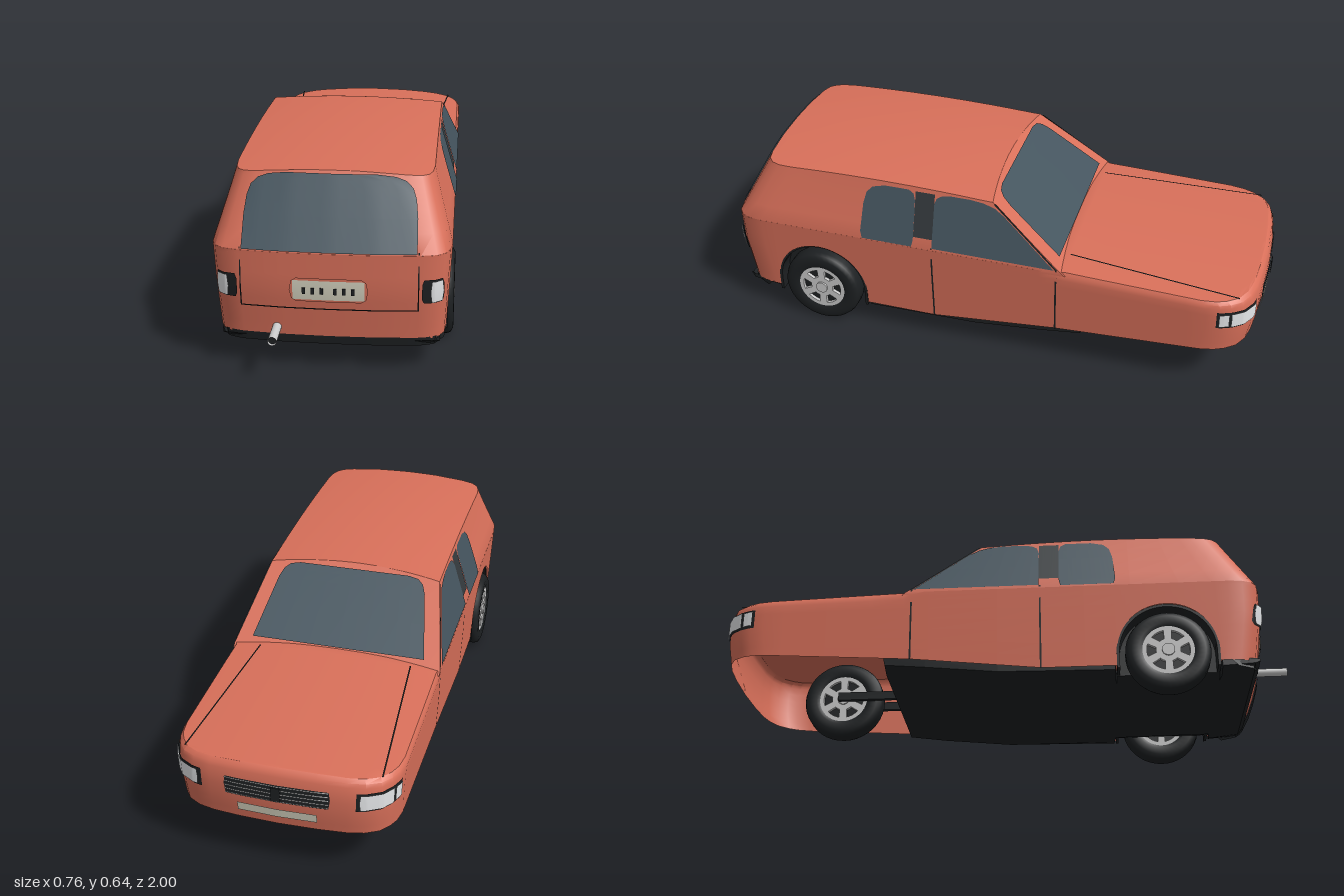
import * as THREE from 'three';
import { toCreasedNormals } from 'three/addons/utils/BufferGeometryUtils.js';

const mat = (color) => new THREE.MeshStandardMaterial({ color, side: THREE.DoubleSide });
const PAINT = mat(0xd9705a), GLASS = mat(0x45555f), DARK = mat(0x1d2022), PILLAR = mat(0x33393c),
  GREY = mat(0xcccccc), LAMP = mat(0xe6e8ea), PLATE = mat(0xd6d3c0);

const lerp = THREE.MathUtils.lerp;
// piecewise linear lookup in [[x, value], ...]
function lin(table, x) {
  for (let i = 1; i < table.length; i++) {
    const [a, va] = table[i - 1], [b, vb] = table[i];
    if (x <= b || i === table.length - 1) return lerp(va, vb, (x - a) / (b - a));
  }
}

// Body rules: nose at -z, tail at +z
const FRONT = [[0, 0], [0.35, 0.004], [0.6, 0.012], [0.75, 0.025], [0.87, 0.05], [0.94, 0.085], [0.98, 0.12], [1, 0.17]];
const REAR = [[0, 0], [0.4, 0.003], [0.75, 0.013], [0.88, 0.024], [0.95, 0.045], [0.985, 0.075], [1, 0.125]];
const ARCH = { z: 0.58, y: 0.15, r: 0.172 };
const wide = (y) => lin([[0.1, 0.357], [0.3, 0.367], [0.4, 0.372], [0.605, 0.31], [0.65, 0.297]], y);
const noseZ = (y) => lin([[0.19, -0.978], [0.25, -0.988], [0.3, -0.992], [0.35, -0.99], [0.38, -0.98], [0.39, -0.968]], y);
const tailZ = (y) => lin([[0.1, 0.895], [0.28, 0.92], [0.4, 0.922], [0.61, 0.805], [0.65, 0.783]], y);
const screenZ = (y) => lin([[0.39, -0.335], [0.61, -0.055], [0.65, -0.005]], y);
const sillY = (z) => lin([[-1, 0.19], [-0.3, 0.147], [0.15, 0.1], [0.5, 0.1], [0.9, 0.112]], z);
const hoodY = (f, z) => z > -0.25 ? 0.4 : lerp(0.382, 0.403, (z + 0.98) / 0.68) + 0.018 * (1 - f * f);
function bottomY(z) {
  const d = Math.abs(z - ARCH.z);
  return d < ARCH.r ? ARCH.y + Math.sqrt(ARCH.r ** 2 - d * d) : sillY(z);
}

// Skin over rows of points
function skin(rows, closed, crease = 0.6) {
  const n = rows[0].length, idx = [];
  for (let i = 0; i < rows.length - 1; i++)
    for (let j = 0; j < (closed ? n : n - 1); j++) {
      const a = i * n + j, b = i * n + (j + 1) % n;
      idx.push(a, a + n, b, b, a + n, b + n);
    }
  const g = new THREE.BufferGeometry();
  g.setAttribute('position', new THREE.Float32BufferAttribute(rows.flat(2), 3));
  g.setIndex(idx);
  return toCreasedNormals(g, crease);
}
const mirrorRing = (half) => [...half, ...half.slice(1, -1).reverse().map(([x, y, z]) => [-x, y, z])];

function lowerBody() {
  const mid = [-0.75, -0.6, -0.45, -0.33, -0.3, -0.24, 0, 0.15, 0.3, ARCH.z - ARCH.r - 0.001];
  for (let i = 0; i <= 24; i++) mid.push(ARCH.z - (ARCH.r - 0.0002) * Math.cos(Math.PI * i / 24));
  mid.push(ARCH.z + ARCH.r + 0.001);
  const ring = (t, s = 1) => mirrorRing([
    ...FRONT.map(([f, d]) => [f, noseZ(lerp(0.19, 0.39, t)) + d]),
    ...mid.map((z) => [1, z]),
    ...[...REAR].reverse().map(([f, d]) => [f, tailZ(lerp(0.11, 0.4, t)) - d]),
  ].map(([f, z]) => {
    const y = lerp(bottomY(z), hoodY(f * s, z), t);
    const inset = z < -0.3 ? lin([[0, 1], [0.88, 1], [0.95, 0.992], [1, 0.972]], t) : 1;
    return [f * s * wide(y) * inset, y, z];
  }));
  return skin([...[0, 0.15, 0.3, 0.45, 0.6, 0.75, 0.88, 0.95, 1].map((t) => ring(t)),
    ...[0.85, 0.7, 0.5, 0.25, 0].map((s) => ring(1, s))], true);
}

function cabin() {
  const side = [0.05, 0.15, 0.25, 0.4, 0.55, 0.7, 0.85, 0.95];
  const ring = (t, s = 1) => {
    const at = (f, zOf) => {
      const k = f * s, base = lerp(0.39, 0.605, t) + 0.02 * t * (1 - k * k);
      const z = THREE.MathUtils.clamp(zOf(lerp(0.39, 0.605, t) + 0.02 * t * (1 - f * f)),
        screenZ(base), tailZ(base) - lin(REAR, k));
      const arch = 0.013 * t ** 4 * Math.max(0, 1 - ((z - 0.38) / 0.42) ** 2);
      return [k * wide(lerp(0.39, 0.605, t)), base + arch, z];
    };
    return mirrorRing([
      ...[0, 0.3, 0.6, 0.85, 1].map((f) => at(f, screenZ)),
      ...side.map((k) => at(1, (y) => lerp(screenZ(y), tailZ(y) - 0.125, k))),
      ...[...REAR].reverse().map(([f, d]) => at(f, (y) => tailZ(y) - d)),
    ]);
  };
  return skin([...[0, 0.05, 0.3, 0.55, 0.8, 0.95, 1].map((t) => ring(t)),
    ...[0.9, 0.75, 0.5, 0.25, 0].map((s) => ring(1, s))], true, 0.5);
}

// Panel lying on a surface: levels are [v, u0, u1], map(u, v) gives the point
const panel = (levels, map, cols = 12) => skin(levels.map(([v, a, b]) =>
  Array.from({ length: cols + 1 }, (_, i) => map(lerp(a, b, i / cols), v))), false);
const onTail = (e) => (x, y) => [x, y, tailZ(y) - lin(REAR, Math.min(1, Math.abs(x) / wide(y))) + e];
const onSide = (s, e = 0.004) => (z, y) => [s * (wide(y) + e), y, z];
const onHood = (s) => (x, z) => [s * x, hoodY(x / 0.36, z) + 0.004, z];
const onScreen = (x, y) => [x, y + 0.004, screenZ(y) - 0.005];
// u runs along the nose outline from the centre to the flank
const onNose = (s, e) => (u, y) => {
  const i = Math.min(6, Math.floor(Math.abs(u))), k = Math.abs(u) - i;
  const f = lerp(FRONT[i][0], FRONT[i + 1][0], k), d = lerp(FRONT[i][1], FRONT[i + 1][1], k);
  return [s * Math.sign(u) * (f * wide(y) + e * Math.min(1, Math.abs(u) / 4)), y, noseZ(y) + d - e * (1 - Math.abs(u) / 9)];
};

function wheel() {
  const g = new THREE.Group();
  const tyre = new THREE.LatheGeometry([[0.088, -0.034], [0.1, -0.039], [0.125, -0.039], [0.14, -0.031], [0.145, -0.018],
    [0.145, 0.018], [0.14, 0.031], [0.125, 0.039], [0.1, 0.039], [0.088, 0.034]].map((p) => new THREE.Vector2(...p)), 40);
  add(g, 'tyre', tyre, DARK).rotation.z = Math.PI / 2;
  add(g, 'rimBack', new THREE.CylinderGeometry(0.09, 0.09, 0.04, 32), DARK).rotation.z = Math.PI / 2;
  const face = new THREE.Shape().absarc(0, 0, 0.093, 0, Math.PI * 2);
  for (let i = 0; i < 6; i++) {
    const a = i * Math.PI / 3, hole = new THREE.Path();
    hole.absarc(0, 0, 0.073, a - 0.33, a + 0.33).absarc(0, 0, 0.042, a + 0.22, a - 0.22, true);
    face.holes.push(hole);
  }
  for (const s of [1, -1]) {
    const rim = add(g, 'rim', new THREE.ExtrudeGeometry(face, { depth: 0.012, bevelEnabled: false, curveSegments: 24 }), GREY);
    rim.rotation.y = s * Math.PI / 2;
    rim.position.x = s * 0.022;
    const hub = add(g, 'hubCap', new THREE.CylinderGeometry(0.022, 0.022, 0.006, 20), GREY);
    hub.rotation.z = Math.PI / 2;
    hub.position.x = s * 0.037;
  }
  return g;
}

// Arch-shaped outline in (-z, y), open at the bottom
function archShape(r, inner) {
  const s = new THREE.Shape();
  s.moveTo(r, -0.06).lineTo(r, 0).absarc(0, 0, r, 0, Math.PI).lineTo(-r, -0.06);
  if (inner) s.lineTo(-inner, -0.06).lineTo(-inner, 0).absarc(0, 0, inner, Math.PI, 0, true).lineTo(inner, -0.06);
  return s;
}

function add(parent, name, geometry, material, x = 0, y = 0, z = 0) {
  const m = new THREE.Mesh(geometry, material);
  m.name = name;
  m.position.set(x, y, z);
  parent.add(m);
  return m;
}

export function createModel() {
  const car = new THREE.Group();
  car.name = 'threeWheeledVan';
  add(car, 'lowerBody', lowerBody(), PAINT);
  add(car, 'cabin', cabin(), PAINT);

  // Windscreen and rear window
  add(car, 'windscreen', panel([[0.422, 0.31], [0.5, 0.288], [0.57, 0.268], [0.592, 0.255], [0.604, 0.235], [0.609, 0.2]]
    .map(([y, w]) => [y, -w, w]), onScreen), GLASS);
  add(car, 'rearWindow', panel([[0.405, 0.268], [0.5, 0.266], [0.55, 0.26], [0.58, 0.249], [0.6, 0.228], [0.611, 0.195], [0.617, 0.14]]
    .map(([y, w]) => [y, -w, w]), onTail(0.006), 20), GLASS);

  // Tailgate seams, number plate, rear skirt
  for (const s of [1, -1]) add(car, 'tailgateSeam', panel([[0.214, 0.271 * s, 0.275 * s], [0.28, 0.271 * s, 0.275 * s], [0.41, 0.271 * s, 0.275 * s]], onTail(0.004), 1), DARK);
  add(car, 'tailgateSeam', panel([[0.213, -0.275, 0.275], [0.217, -0.275, 0.275]], onTail(0.004), 20), DARK);
  add(car, 'plateSurround', panel([[0.242, -0.1, 0.1], [0.252, -0.115, 0.115], [0.282, -0.121, 0.121], [0.312, -0.115, 0.115], [0.322, -0.1, 0.1]], onTail(0.007)), PAINT);
  add(car, 'rearPlate', panel([[0.25, -0.11, 0.11], [0.282, -0.11, 0.11], [0.315, -0.11, 0.11]], onTail(0.01)), PLATE);
  for (const x of [-0.075, -0.048, -0.021, 0.021, 0.048, 0.075])
    add(car, 'plateBlock', new THREE.BoxGeometry(0.01, 0.02, 0.004), DARK, x, 0.282, 0.931);
  add(car, 'rearSkirt', panel([[0.088, -0.352, 0.352], [0.117, -0.357, 0.357]], onTail(0.003), 24), DARK);

  // Grille with slats and front plate
  add(car, 'grille', panel([[0.285, -1.4, 1.4], [0.32, -1.45, 1.45], [0.35, -1.4, 1.4]], onNose(1, 0.003), 16), DARK);
  for (let i = 0; i < 5; i++) {
    const y = 0.289 + i * 0.014;
    add(car, 'grilleSlat', panel([[y, -1.4, 1.4], [y + 0.005, -1.4, 1.4]], onNose(1, 0.007), 16), GREY);
  }
  add(car, 'grilleBadge', new THREE.BoxGeometry(0.03, 0.05, 0.004), DARK, 0, 0.318, -0.998);
  add(car, 'frontPlate', panel([[0.225, -1, 1], [0.258, -1, 1]], onNose(1, 0.006), 8), PLATE);

  for (const s of [1, -1]) {
    // Side windows, pillar and door seams
    add(car, 'doorWindow', panel([[0.41, -0.295, 0.145], [0.5, -0.185, 0.145], [0.565, -0.105, 0.145], [0.587, -0.07, 0.138], [0.598, -0.03, 0.12], [0.603, 0.02, 0.09]], onSide(s)), GLASS);
    add(car, 'rearSideWindow', panel([[0.405, 0.22, 0.405], [0.43, 0.215, 0.412], [0.53, 0.215, 0.405], [0.57, 0.216, 0.395], [0.592, 0.222, 0.375], [0.603, 0.24, 0.33]], onSide(s)), GLASS);
    add(car, 'doorPillar', panel([[0.44, 0.145, 0.215], [0.6, 0.145, 0.215]], onSide(s, 0.003)), PILLAR);
    for (const [z, y] of [[-0.302, 0.147], [0.148, 0.1]])
      add(car, 'doorSeam', panel([[y, z - 0.003, z + 0.003], [0.3, z - 0.003, z + 0.003], [0.41, z - 0.003, z + 0.003]], onSide(s, 0.002), 1), DARK);
    add(car, 'windowPost', panel([[0.41, -0.307, -0.298], [0.6, -0.073, -0.064]], onSide(s, 0.002), 1), DARK);
    add(car, 'hoodSeam', panel([[-0.92, 0.317, 0.322], [-0.62, 0.292, 0.297], [-0.33, 0.268, 0.273]], onHood(s), 1), DARK);

    // Lamps
    add(car, 'headlampFrame', panel([[0.285, 2.5, 6.3], [0.352, 2.5, 6.3]], onNose(s, 0.003), 20), DARK);
    add(car, 'headlamp', panel([[0.291, 2.7, 5.1], [0.32, 2.65, 5.1], [0.347, 2.7, 5.1]], onNose(s, 0.007), 16), LAMP);
    add(car, 'indicator', panel([[0.293, 5.3, 6.15], [0.345, 5.3, 6.15]], onNose(s, 0.007), 8), LAMP);
    const span = (y, a, b) => [y, s * a, s * b];
    add(car, 'tailLampFrame', panel([span(0.242, 0.29, 0.345), span(0.255, 0.284, 0.35), span(0.305, 0.284, 0.35), span(0.322, 0.29, 0.345)], onTail(0.006)), DARK);
    add(car, 'tailLamp', panel([span(0.246, 0.314, 0.346), span(0.28, 0.31, 0.35), span(0.318, 0.314, 0.346)], onTail(0.012)), LAMP);

    // Rear wheel and its housing
    const w = wheel();
    w.name = 'rearWheel';
    w.position.set(s * 0.34, 0.145, ARCH.z);
    car.add(w);
    for (const [shape, depth, x] of [[archShape(0.17), 0.08, 0.215], [archShape(0.174, 0.164), 0.066, 0.295]]) {
      const house = add(car, 'wheelHousing', new THREE.ExtrudeGeometry(shape, { depth, bevelEnabled: false, curveSegments: 24 }), DARK,
        s > 0 ? x : -x - depth, ARCH.y, ARCH.z);
      house.rotation.y = Math.PI / 2;
    }
  }

  // Front wheel with its arm, and the bulkhead behind it
  const front = wheel();
  front.name = 'frontWheel';
  front.position.set(0, 0.145, -0.595);
  car.add(front);
  for (const s of [1, -1]) add(car, 'frontArm', new THREE.BoxGeometry(0.016, 0.03, 0.24), DARK, s * 0.052, 0.145, -0.49);
  add(car, 'frontAxle', new THREE.CylinderGeometry(0.012, 0.012, 0.12, 12), DARK, 0, 0.145, -0.595).rotation.z = Math.PI / 2;
  add(car, 'bulkhead', new THREE.BoxGeometry(0.69, 0.25, 0.01), DARK, 0, 0.26, -0.385);

  // Floor pan, narrowed between the rear wheels
  add(car, 'floorPan', skin([[0.888, 0.33, 0.108], [0.87, 0.34, 0.09], [0.76, 0.345, 0.078], [0.755, 0.295, 0.078], [0.405, 0.295, 0.074],
    [0.4, 0.35, 0.074], [0, 0.35, 0.074], [-0.25, 0.35, 0.098], [-0.39, 0.345, 0.115], [-0.395, 0.345, 0.15]].map(([z, w, y]) => {
    const top = Math.max(y, sillY(z) + 0.008);
    return [[-w, top, z], [-w, lerp(y, top, 0.4), z], [-w * 0.86, y, z], [w * 0.86, y, z], [w, lerp(y, top, 0.4), z], [w, top, z]];
  }), false, 0.4), DARK);

  // Exhaust
  const pipe = add(car, 'exhaustPipe', new THREE.CylinderGeometry(0.014, 0.014, 0.14, 20, 1, true), GREY, -0.164, 0.141, 0.93);
  pipe.rotation.x = Math.PI / 2;
  add(car, 'exhaustBore', new THREE.CircleGeometry(0.013, 20), DARK, -0.164, 0.141, 0.99);
  return car;
}
